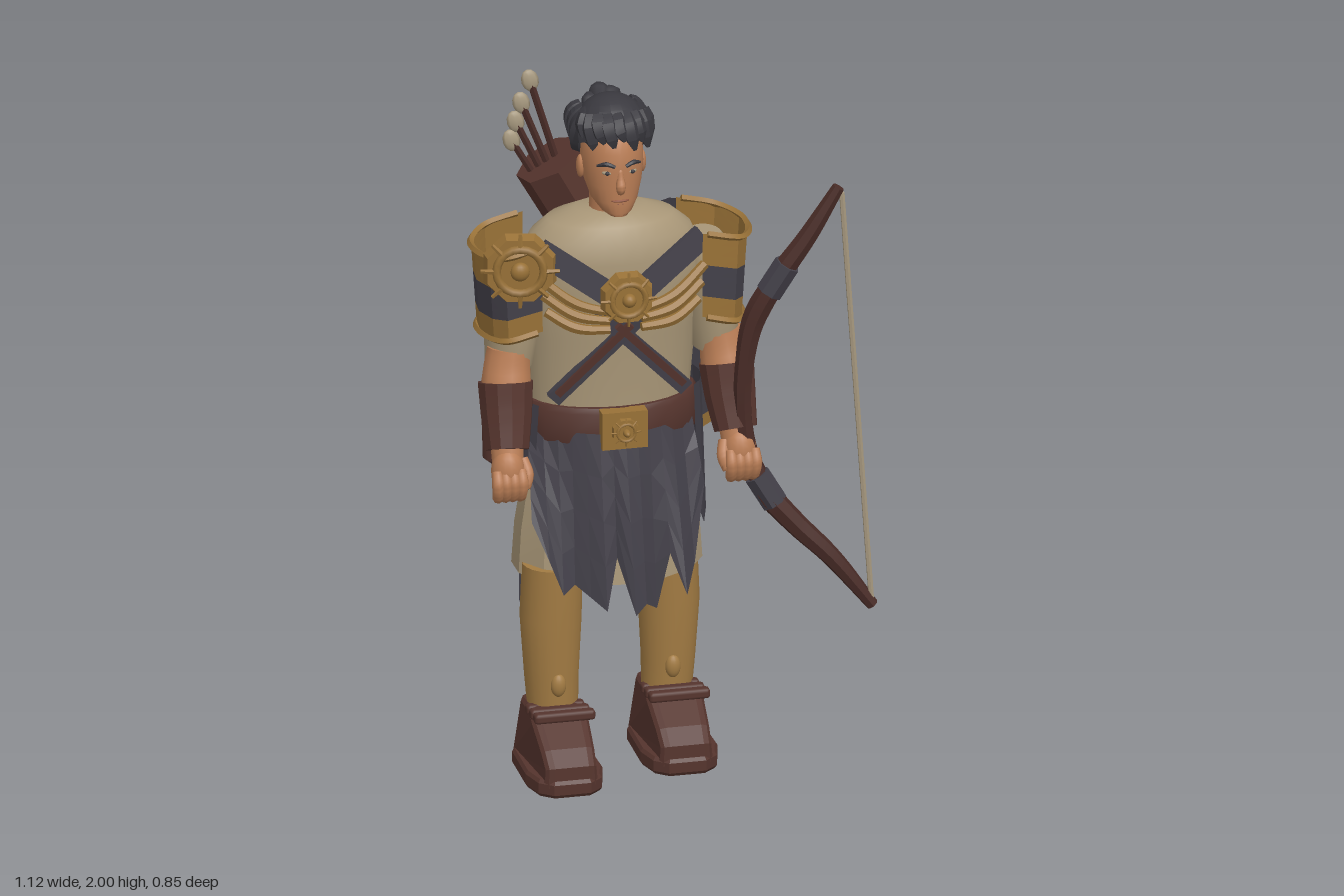
import * as THREE from 'three';
import { toCreasedNormals } from 'three/addons/utils/BufferGeometryUtils.js';
import { RoundedBoxGeometry } from 'three/addons/geometries/RoundedBoxGeometry.js';

const mat = (name, color, side = THREE.FrontSide) => Object.assign(new THREE.MeshStandardMaterial({ color, side }), { name });
const M = {
  tunic: mat('tunic linen', 0xa89677, THREE.DoubleSide), skin: mat('skin', 0xb97d55),
  gold: mat('gold trim', 0x987137, THREE.DoubleSide), cloth: mat('dark cloth', 0x434049, THREE.DoubleSide),
  leather: mat('leather', 0x55342d), wood: mat('bow wood', 0x492c27), hair: mat('hair', 0x3a393f),
  legs: mat('ochre leggings', 0xa27b43), pale: mat('fletching', 0xa89a80), lip: mat('lips', 0x935842),
};
const CX = -0.155; // body centre line
const V = (p) => new THREE.Vector3(...p);

export function createModel() {
  const root = new THREE.Group();
  root.name = 'archer';
  const add = (name, geo, m, pos, rot, scale) => {
    const mesh = new THREE.Mesh(geo, m);
    mesh.name = name;
    if (pos) mesh.position.set(...pos);
    if (rot) mesh.rotation.set(...rot);
    if (scale) mesh.scale.set(...scale);
    root.add(mesh);
    return mesh;
  };
  // stacked ellipses, bottom to top: [y, rx, rz, cx, cz]
  const loft = (name, rings, m, n = 20, crease = 0.7) => {
    const pos = [], idx = [], L = rings.length - 1;
    for (const [y, rx, rz, cx, cz] of rings) for (let j = 0; j < n; j++) {
      const a = (j / n) * Math.PI * 2;
      pos.push(cx + rx * Math.sin(a), y, cz + rz * Math.cos(a));
    }
    for (const k of [0, L]) pos.push(rings[k][3], rings[k][0], rings[k][4]);
    for (let j = 0; j < n; j++) {
      const k = (j + 1) % n, c = (L + 1) * n;
      for (let i = 0; i < L; i++) idx.push(i * n + j, i * n + k, i * n + n + k, i * n + j, i * n + n + k, i * n + n + j);
      idx.push(k, j, c, L * n + j, L * n + k, c + 1);
    }
    const g = new THREE.BufferGeometry();
    g.setAttribute('position', new THREE.Float32BufferAttribute(pos, 3));
    g.setIndex(idx);
    return add(name, toCreasedNormals(g, crease), m);
  };
  // capped tube with changing radius
  const limb = (name, pts, radii, m, sides = 12, crease = 0.7) => {
    const N = pts.length * 5, g = new THREE.TubeGeometry(new THREE.CatmullRomCurve3(pts.map(V)), N, 1, sides);
    const p = g.attributes.position, c = new THREE.Vector3(), v = new THREE.Vector3();
    const curve = g.parameters.path, w = sides + 1;
    for (let i = 0; i <= N; i++) {
      const f = (i / N) * (radii.length - 1), k = Math.min(Math.floor(f), radii.length - 2);
      const r = i === 0 || i === N ? 0 : THREE.MathUtils.lerp(radii[k], radii[k + 1], f - k);
      curve.getPointAt(i / N, c);
      const end = curve.getPointAt(Math.min(Math.max(i, 1), N - 1) / N);
      for (let j = 0; j < w; j++) {
        v.fromBufferAttribute(p, i * w + j).sub(c).multiplyScalar(r).add(end);
        p.setXYZ(i * w + j, v.x, v.y, v.z);
      }
    }
    return add(name, toCreasedNormals(g, crease), m);
  };
  const rod = (name, a, b, ra, rb, m, n = 8) => {
    const d = V(b).sub(V(a)), g = new THREE.CylinderGeometry(rb, ra, d.length(), n);
    const mesh = add(name, toCreasedNormals(g, n < 9 ? 0.3 : 0.9), m);
    mesh.position.copy(V(a)).addScaledVector(d, 0.5);
    mesh.quaternion.setFromUnitVectors(new THREE.Vector3(0, 1, 0), d.normalize());
  };
  // flat strap between two points, facing forward
  const strap = (name, a, b, w, t, m) => {
    const y = V(b).sub(V(a)), len = y.length();
    y.normalize();
    const x = y.clone().cross(new THREE.Vector3(0, 0, 1)).normalize(), z = x.clone().cross(y);
    const mesh = add(name, new THREE.BoxGeometry(w, len, t), m);
    mesh.quaternion.setFromRotationMatrix(new THREE.Matrix4().makeBasis(x, y, z));
    mesh.position.copy(V(a)).add(V(b)).multiplyScalar(0.5);
  };
  // faceted sheet f(u, v), pick(i, j) selects one of the materials
  const sheet = (name, nu, nv, f, mats, pick = () => 0) => {
    const pos = [], g = new THREE.BufferGeometry();
    mats.forEach((_, k) => {
      const start = pos.length / 3;
      for (let i = 0; i < nu; i++) for (let j = 0; j < nv; j++) if (pick(i, j) === k) {
        const q = [[i, j], [i, j + 1], [i + 1, j + 1], [i + 1, j]].map(([a, b]) => f(a / nu, b / nv));
        for (const c of [0, 1, 2, 0, 2, 3]) pos.push(...q[c]);
      }
      g.addGroup(start, pos.length / 3 - start, k);
    });
    g.setAttribute('position', new THREE.Float32BufferAttribute(pos, 3));
    g.computeVertexNormals();
    return add(name, g, mats);
  };
  const along = (list, u) => { // piecewise linear lookup of points
    const f = u * (list.length - 1), k = Math.min(Math.floor(f), list.length - 2);
    return list[k].map((a, i) => a + (list[k + 1][i] - a) * (f - k));
  };
  const ball = (name, m, pos, scale, rot, n = 16) => add(name, new THREE.SphereGeometry(1, n, Math.ceil(n * 0.7)), m, pos, rot, scale);
  const outline = (pts) => new THREE.Shape(pts.map((p) => new THREE.Vector2(...p)));

  // tunic and skirt
  loft('tunic', [[0.8, 0.235, 0.14, CX, 0.1], [0.9, 0.25, 0.165, CX, 0.1], [1.0, 0.235, 0.155, CX, 0.115], [1.1, 0.23, 0.147, CX, 0.12],
    [1.3, 0.245, 0.152, CX, 0.13], [1.45, 0.26, 0.155, CX, 0.135], [1.53, 0.255, 0.152, CX, 0.137], [1.59, 0.228, 0.14, CX, 0.14], [1.63, 0.18, 0.115, CX, 0.14], [1.655, 0.1, 0.075, CX, 0.14]], M.tunic, 28);
  loft('skirt', [[0.575, 0.27, 0.198, CX, 0.1], [0.7, 0.262, 0.18, CX, 0.1], [0.84, 0.24, 0.155, CX, 0.1]], M.tunic, 14, 0.1);

  // belt and buckle
  loft('belt', [[0.985, 0.25, 0.17, CX, 0.115], [1.0, 0.256, 0.175, CX, 0.115], [1.085, 0.252, 0.173, CX, 0.115], [1.1, 0.243, 0.165, CX, 0.115]], M.leather, 20);
  add('buckle', new THREE.BoxGeometry(0.13, 0.11, 0.04), M.gold, [CX, 1.045, 0.295]);
  const dial = (name, pos, r, ry) => {
    const at = (x, y, z) => [pos[0] + x * Math.cos(ry) + z * Math.sin(ry), pos[1] + y, pos[2] - x * Math.sin(ry) + z * Math.cos(ry)];
    const disc = new THREE.CylinderGeometry(r * 0.9, r, 0.03, 8).rotateX(Math.PI / 2).rotateZ(Math.PI / 8);
    add(name, toCreasedNormals(disc, 0.3), M.gold, pos, [0, ry, 0]);
    add(name + 'Rim', new THREE.TorusGeometry(r * 0.6, r * 0.11, 6, 20), M.gold, at(0, 0, 0.018), [0, ry, 0]);
    ball(name + 'Hub', M.gold, at(0, 0, 0.02), [r * 0.25, r * 0.25, 0.02]);
    for (let k = 0; k < 8; k++) {
      const a = (k * Math.PI) / 4, c = Math.cos(a), s = Math.sin(a);
      rod(name + 'Spoke', at(c * r * 0.55, s * r * 0.55, 0.02), at(c * r, s * r, 0.014), r * 0.08, r * 0.05, M.gold, 5);
    }
  };
  dial('buckleDial', [CX, 1.045, 0.315], 0.042, 0);
  dial('chestDial', [CX, 1.455, 0.345], 0.08, 0);
  dial('shoulderDial', [-0.445, 1.54, 0.27], 0.11, -0.22);

  for (const s of [-1, 1]) {
    const X = (d) => CX + s * d;
    // chest harness
    strap('chestSash', [X(0.235), 1.59, 0.265], [X(0.02), 1.44, 0.32], 0.068, 0.02, M.cloth);
    for (let k = 0; k < 3; k++)
      limb('harnessWing', [[X(0.25 - k * 0.01), 1.52 - k * 0.052, 0.275], [X(0.14), 1.437 - k * 0.036, 0.31], [X(0.03), 1.405 - k * 0.025, 0.325]], [0.014, 0.016, 0.012], M.gold, 6);
    strap('crossStrap', [X(-0.07), 1.4, 0.3], [X(0.19), 1.13, 0.245], 0.045, 0.02, M.cloth);
    strap('crossStrapCore', [X(-0.02), 1.36, 0.302], [X(0.18), 1.15, 0.256], 0.02, 0.025, M.leather);
    // leg, ankle knob and rear patch; the right foot stands ahead
    const Z = s > 0 ? 0 : 0.065;
    loft('legging', [[0.15, 0.07, 0.07, X(0.17), 0.1 + Z], [0.27, 0.076, 0.075, X(0.175), 0.1 + Z], [0.45, 0.087, 0.084, X(0.177), 0.1 + Z], [0.61, 0.085, 0.086, X(0.172), 0.1 + Z]], M.legs, 20);
    ball('ankleKnob', M.legs, [X(0.172), 0.265, 0.172 + Z], [0.022, 0.034, 0.018]);
    sheet('legPatch', 6, 1, (u, v) => {
      const a = Math.PI * (0.68 + u * 0.64);
      return [X(0.176) + 0.093 * Math.sin(a), 0.6 - v * (0.11 + 0.02 * Math.cos(u * 18)), 0.1 + Z + 0.093 * Math.cos(a)];
    }, [M.cloth]);
    // boot on a sole with a blunt toe
    const profile = outline([[0.02, 0.04], [0.29, 0.04], [0.288, 0.08], [0.25, 0.115], [0.16, 0.17], [0.12, 0.185], [0.02, 0.185]]);
    const boot = new THREE.ExtrudeGeometry(profile, { depth: 0.14, bevelEnabled: true, bevelSize: 0.015, bevelThickness: 0.03, bevelSegments: 2, steps: 1 }).translate(0, 0, -0.07).rotateY(-Math.PI / 2);
    const bp = boot.attributes.position;
    for (let i = 0; i < bp.count; i++) bp.setX(i, bp.getX(i) * (1 - Math.max(0, bp.getY(i) - 0.05) * 1.6) * (1 - Math.max(0, bp.getZ(i) - 0.18) * 2.2));
    boot.computeVertexNormals();
    add('boot', boot, M.leather, [X(0.175), 0, 0.025 + Z * 1.3]);
    const sole = outline([[-0.085, -0.03], [0.085, -0.03], [0.1, -0.06], [0.103, -0.23], [0.085, -0.3], [0.05, -0.33], [-0.05, -0.33], [-0.085, -0.3], [-0.103, -0.23], [-0.1, -0.06]].reverse());
    add('sole', new THREE.ExtrudeGeometry(sole, { depth: 0.03, bevelEnabled: true, bevelSize: 0.007, bevelThickness: 0.01, bevelSegments: 1 }).rotateX(-Math.PI / 2), M.leather, [X(0.175), 0.01, Z * 1.3]);
    for (let k = 0; k < 3; k++)
      add('bootStrap', new RoundedBoxGeometry(0.175 - k * 0.004, 0.03, 0.036, 1, 0.01), M.leather, [X(0.174), 0.203 - k * 0.008, 0.235 + Z * 1.2 - k * 0.055]);

    // arm, bracer and hand
    loft('sleeve', [[1.22, 0.066, 0.08, X(0.296), 0.16], [1.3, 0.073, 0.1, X(0.288), 0.15], [1.42, 0.076, 0.106, X(0.285), 0.145], [1.5, 0.072, 0.1, X(0.283), 0.145], [1.55, 0.045, 0.06, X(0.27), 0.145]], M.tunic, 18);
    limb('forearm', [[X(0.3), 1.29, 0.185], [X(0.312), 1.2, 0.2], [X(0.325), 1.05, 0.255], [X(0.33), 0.95, 0.295]], [0.06, 0.072, 0.05, 0.044], M.skin);
    limb('bracer', [[X(0.316), 1.195, 0.203], [X(0.32), 1.1, 0.232], [X(0.328), 0.99, 0.28]], [0.08, 0.073, 0.06], M.leather, 12, 0.4);
    ball('palm', M.skin, [X(0.332), 0.95, 0.3], [0.048, 0.068, 0.045]);
    for (let k = 0; k < 4; k++)
      limb('finger', [[X(0.3 + k * 0.023), 0.965, 0.32], [X(0.3 + k * 0.023), 0.92, 0.34], [X(0.302 + k * 0.021), 0.878, 0.32], [X(0.304 + k * 0.02), 0.886, 0.295]], [0.014, 0.018, 0.017, 0.012], M.skin, 8, 1.5);
    limb('thumb', [[X(0.29), 0.985, 0.29], [X(0.28), 0.94, 0.32], [X(0.29), 0.9, 0.335]], [0.016, 0.018, 0.012], M.skin, 8, 1.5);

    // shoulder guard
    const plan = [[0.22, 0.01], [0.33, 0.018], [0.385, 0.08], [0.392, 0.15], [0.37, 0.23], [0.335, 0.275], [0.23, 0.285]];
    const guard = (u, v) => {
      const [d, z] = along(plan, u);
      return [X(0.215 + (d - 0.215) * (1 - 0.1 * v)), 1.605 - 0.24 * (d - 0.22) - 0.25 * v, z];
    };
    sheet('shoulderGuard', 12, 8, guard, [M.gold, M.cloth], (i, j) => (j > 2 && j < 6 ? 1 : 0));
    for (const v of [0, 1]) limb('shoulderGuardRim', [0, 1, 2, 3, 4, 5, 6].map((k) => guard(k / 6, v)), [0.01, 0.01], M.gold, 4);
  }

  // ragged front cloth and side cloth
  const hem = [0.78, 0.68, 0.58, 0.6, 0.57, 0.54, 0.68, 0.53, 0.55, 0.52, 0.68, 0.57, 0.64, 0.86];
  const folds = [0, 0.03, 0.02, -0.02, 0, 0.03, -0.02, 0.05, 0.02, -0.01, 0.0, 0.06, 0.01, -0.01];
  sheet('frontCloth', 13, 4, (u, v) => {
    const k = Math.round(u * 13), d = -0.245 + u * 0.465;
    const y = THREE.MathUtils.lerp(1.03, hem[k], v);
    return [CX + d * (1 + 0.06 * v), y, 0.3 - 2.2 * d * d + v * (0.075 + folds[k] + d * d * 0.7)];
  }, [M.cloth]);
  const side = [0.76, 0.69, 0.72, 0.67, 0.69, 0.68, 0.8];
  const sideCloth = (name, s, top, drop) => sheet(name, 6, 4, (u, v) => {
    const a = 1.0 + u * 1.25, y = THREE.MathUtils.lerp(top, side[Math.round(u * 6)] + drop, v);
    return [CX + s * (0.264 + 0.014 * v) * Math.sin(a), y, 0.11 + 0.19 * Math.cos(a)];
  }, [M.cloth]);
  sideCloth('leftHipCloth', 1, 1.12, 0);
  sideCloth('rightHipCloth', -1, 1.1, 0.12);

  // belt pouches
  for (const [x, y, z, h, r] of [[-0.345, 0.87, -0.05, 0.23, 0.058], [-0.425, 0.85, 0.0, 0.21, 0.064]]) {
    loft('pouch', [[y, r * 0.55, r * 0.5, x, z], [y + h * 0.1, r * 0.95, r * 0.88, x, z], [y + h * 0.6, r, r * 0.9, x, z], [y + h * 0.78, r * 0.8, r * 0.72, x, z], [y + h, r * 0.85, r * 0.75, x, z]], M.leather, 12);
    add('pouchBand', new THREE.TorusGeometry(r * 0.82, 0.012, 6, 14), M.leather, [x, y + h * 0.8, z], [Math.PI / 2, 0, 0]);
  }
  ball('hipPouch', M.leather, [-0.42, 0.9, 0.1], [0.05, 0.08, 0.05], null, 10);
  for (const y of [0.9, 1.0]) rod('pouchBar', [-0.47, y, 0.12], [-0.38, y, 0.15], 0.012, 0.012, M.gold);

  // head and face
  loft('neck', [[1.58, 0.075, 0.07, CX, 0.13], [1.66, 0.058, 0.06, CX, 0.135], [1.76, 0.06, 0.065, CX, 0.14]], M.skin, 16);
  loft('head', [[1.665, 0.025, 0.025, CX, 0.235], [1.675, 0.043, 0.05, CX, 0.213], [1.705, 0.066, 0.08, CX, 0.183], [1.75, 0.08, 0.1, CX, 0.165],
    [1.8, 0.087, 0.107, CX, 0.157], [1.85, 0.086, 0.108, CX, 0.153], [1.9, 0.072, 0.09, CX, 0.15], [1.94, 0.035, 0.04, CX, 0.15]], M.skin, 24, 1.2);
  limb('nose', [[CX, 1.81, 0.256], [CX, 1.775, 0.262], [CX, 1.75, 0.267], [CX, 1.737, 0.257]], [0.007, 0.01, 0.015, 0.01], M.skin, 8, 1.5);
  ball('upperLip', M.lip, [CX, 1.714, 0.258], [0.026, 0.005, 0.009], null, 10);
  ball('lowerLip', M.lip, [CX, 1.704, 0.254], [0.021, 0.006, 0.009], null, 10);
  for (const s of [-1, 1]) {
    ball('ear', M.skin, [CX + s * 0.088, 1.785, 0.15], [0.012, 0.034, 0.02], null, 10);
    ball('eye', M.pale, [CX + s * 0.036, 1.797, 0.25], [0.015, 0.006, 0.008], [0, s * 0.4, 0], 10);
    ball('iris', M.hair, [CX + s * 0.036, 1.797, 0.256], [0.007, 0.006, 0.005], null, 8);
    limb('brow', [[CX + s * 0.012, 1.815, 0.263], [CX + s * 0.038, 1.825, 0.257], [CX + s * 0.065, 1.815, 0.235]], [0.005, 0.007, 0.003], M.hair, 6);
    // hair swept over the ears to the back
    for (const k of [0, 1, 2])
      limb('sideHair', [[-0.15 + s * 0.06, 1.95 - k * 0.01, 0.15 - k * 0.045], [-0.15 + s * 0.09, 1.91, 0.135 - k * 0.04], [-0.15 + s * (0.092 - k * 0.012), 1.84 - k * 0.02, 0.115 - k * 0.035], [-0.15 + s * 0.05, 1.8, 0.05 - k * 0.01]], [0.02, 0.028, 0.022, 0.008], M.hair, 6, 0.2);
  }

  // hair with fringe, bun and ponytail
  const cap = new THREE.SphereGeometry(1, 18, 10, 0, Math.PI * 2, 0, 1.75);
  add('hairCap', toCreasedNormals(cap, 0.3), M.hair, [-0.152, 1.868, 0.135], [-0.42, 0, 0], [0.11, 0.117, 0.12]);
  for (let k = 0; k < 9; k++) {
    const a = -1.3 + k * 0.325, x = -0.15 + 0.09 * Math.sin(a), z = 0.145 + 0.092 * Math.cos(a), low = [0.028, 0.005, 0.034, 0.012][k % 4];
    limb('hairLock', [[x * 0.9 - 0.015, 1.95, z - 0.04 * Math.cos(a)], [x, 1.915, z], [x + 0.014, 1.852 + low - 0.03 * Math.abs(Math.sin(a)), z + 0.014]], [0.02, 0.028, 0.022, 0.002], M.hair, 5, 0.2);
  }
  for (let k = 0; k < 7; k++) {
    const a = k * 0.9;
    ball('bunCurl', M.hair, [-0.15 + 0.035 * Math.cos(a), 1.91 + 0.04 * Math.sin(a), 0.025 + 0.01 * (k % 2)], [0.032, 0.03, 0.028], [a, 0, a], 7);
  }
  for (const d of [-0.03, 0, 0.035])
    limb('ponytail', [[-0.15 + d * 0.5, 1.9, 0.03], [-0.15 + d, 1.8, 0.018], [-0.145 + d, 1.7, 0.02], [-0.15 + d * 1.3, 1.61 + Math.abs(d), 0.005]], [0.025, 0.03, 0.026, 0.004], M.hair, 6, 0.2);

  // cape with gold border
  const capeTop = [[-0.27, 1.48, -0.03], [-0.1, 1.56, -0.05], [0.0, 1.57, -0.035], [0.06, 1.58, -0.05], [0.12, 1.57, -0.045]];
  const capeHem = [[-0.175, 0.65, -0.43], [0, 0.63, -0.285], [0.08, 0.67, -0.355], [0.165, 0.77, -0.26], [0.355, 0.785, -0.425]];
  const cape = (u, v) => {
    const a = along(capeTop, u), b = along(capeHem, u);
    return a.map((c, i) => c + (b[i] - c) * (i ? v : v ** 1.75));
  };
  sheet('cape', 20, 22, cape, [M.cloth, M.gold], (i, j) => (i === 0 || i === 19 || j === 21 ? 1 : 0));
  for (const off of [-0.006, 0.006]) for (const [u0, v0, w] of [[0.08, 0.66, 0.07], [0.56, 0.76, 0.045]]) sheet('capeEmblem', 5, 2, (u, v) => {
    const p = cape(u0 + w * v + w * 0.28 * Math.cos(u * 15), v0 + 2 * w * u);
    return [p[0], p[1], p[2] + off];
  }, [M.gold]);

  // quiver and arrows
  rod('quiver', [0.045, 1.135, -0.06], [-0.28, 1.725, -0.06], 0.09, 0.105, M.leather, 7);
  const tips = [[-0.335, 1.965], [-0.36, 1.9], [-0.376, 1.845], [-0.388, 1.79]];
  tips.forEach(([x, y], k) => {
    rod('arrowShaft', [-0.235 - k * 0.022, 1.64, -0.065], [x, y, -0.065], 0.011, 0.011, M.wood, 6);
    ball('fletching', M.pale, [x, y, -0.065], [0.025, 0.034, 0.012], [0, 0, 0.3], 8);
  });

  // bow
  limb('bow', [[0.46, 1.76, 0.36], [0.36, 1.59, 0.345], [0.28, 1.47, 0.33], [0.215, 1.34, 0.31], [0.19, 1.2, 0.305], [0.185, 1.08, 0.305], [0.2, 0.95, 0.305],
    [0.245, 0.83, 0.315], [0.325, 0.73, 0.33], [0.43, 0.62, 0.345], [0.56, 0.45, 0.36]], [0.016, 0.025, 0.031, 0.035, 0.028, 0.025, 0.028, 0.035, 0.031, 0.025, 0.016], M.wood, 7, 0.3);
  rod('upperBowWrap', [0.255, 1.425, 0.324], [0.305, 1.51, 0.336], 0.038, 0.038, M.cloth, 7);
  rod('lowerBowWrap', [0.222, 0.875, 0.31], [0.272, 0.79, 0.32], 0.038, 0.038, M.cloth, 7);
  rod('bowString', [0.455, 1.72, 0.36], [0.54, 0.485, 0.36], 0.008, 0.008, M.pale, 6);
  return root;
}
